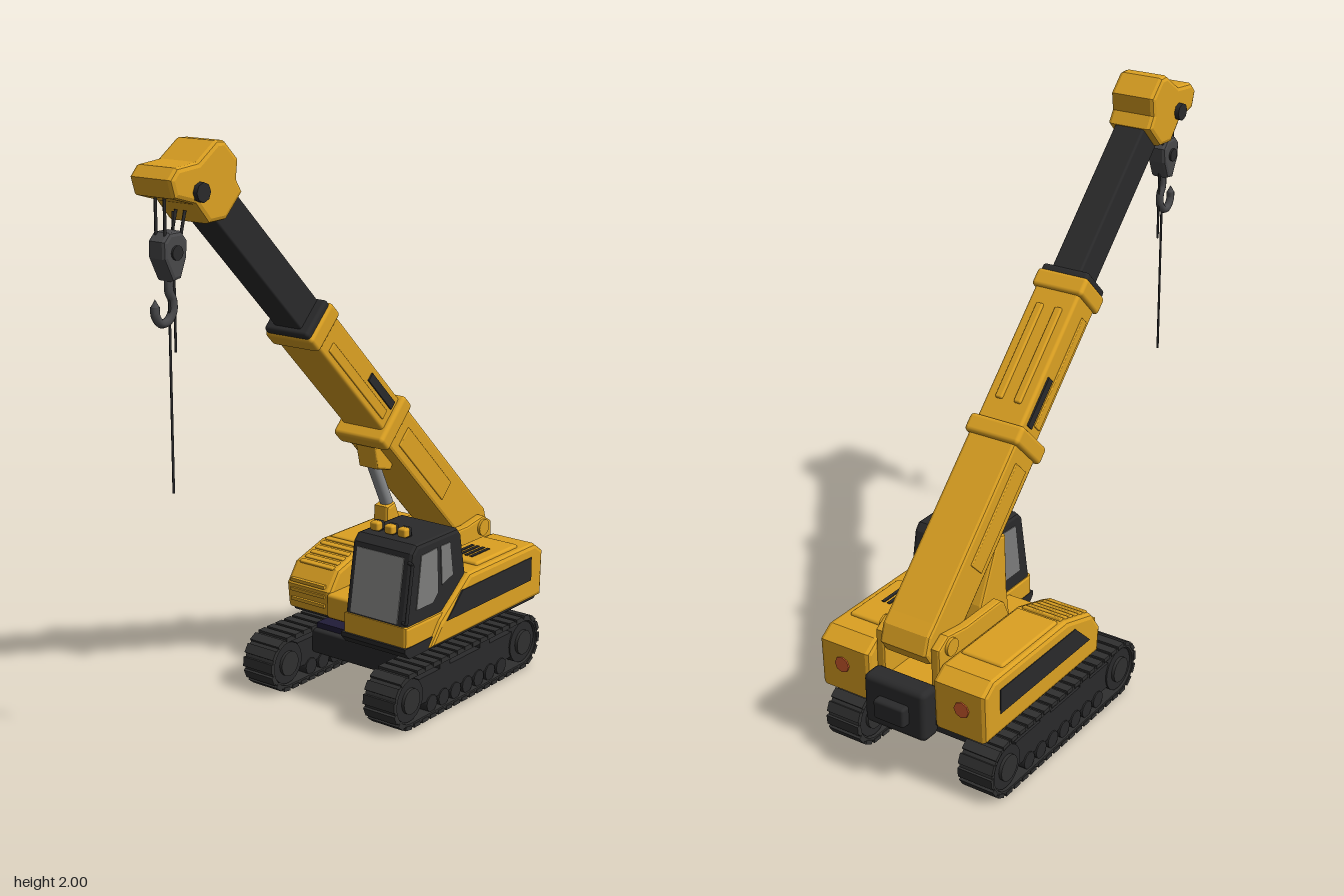
import * as THREE from 'three';
import { RoundedBoxGeometry } from 'three/addons/geometries/RoundedBoxGeometry.js';

const mat = (name, color) => {
  const m = new THREE.MeshStandardMaterial({ color });
  m.name = name;
  return m;
};

export function createModel() {
  const yellow = mat('yellow paint', 0xdca122);
  const black = mat('black trim', 0x2a2a2b);
  const rubber = mat('track rubber', 0x303030);
  const glass = mat('glass', 0x7c7c7b);
  const steel = mat('steel', 0x8a8c8e);
  const hookGrey = mat('hook grey', 0x48484a);
  const navy = mat('navy ring', 0x211c38);
  const red = mat('tail light red', 0xcc5a2c);

  const model = new THREE.Group();
  model.name = 'craneTruck';

  const add = (name, geo, material, parent = model) => {
    const m = new THREE.Mesh(geo, material);
    m.name = name;
    parent.add(m);
    return m;
  };
  // Box given by its limits on each axis; r rounds the edges.
  const box = (name, material, [x0, x1], [y0, y1], [z0, z1], r = 0, parent = model) => {
    const s = [x1 - x0, y1 - y0, z1 - z0];
    const geo = r ? new RoundedBoxGeometry(...s, 2, r) : new THREE.BoxGeometry(...s);
    const m = add(name, geo, material, parent);
    m.position.set((x0 + x1) / 2, (y0 + y1) / 2, (z0 + z1) / 2);
    return m;
  };
  // Side profile of [z, y] points, extruded across x.
  const side = (name, material, pts, [x0, x1], b = 0, parent = model) => {
    const shape = new THREE.Shape(pts.map(p => new THREE.Vector2(...p)));
    const geo = new THREE.ExtrudeGeometry(shape, {
      depth: x1 - x0 - 2 * b, bevelEnabled: b > 0, bevelSize: b, bevelThickness: b,
      bevelOffset: -b, bevelSegments: 2,
    });
    geo.rotateY(-Math.PI / 2).translate(x1 - b, 0, 0);
    return add(name, geo, material, parent);
  };
  // Cylinder lying along x.
  const disc = (name, material, r, [x0, x1], y, z, parent = model, seg = 20) => {
    const m = add(name, new THREE.CylinderGeometry(r, r, x1 - x0, seg).rotateZ(Math.PI / 2), material, parent);
    m.position.set((x0 + x1) / 2, y, z);
    return m;
  };
  // Straight rod between two points.
  const rod = (name, material, a, b, r0, r1 = r0, seg = 12) => {
    const p = new THREE.Vector3(...a), q = new THREE.Vector3(...b);
    const m = add(name, new THREE.CylinderGeometry(r1, r0, p.distanceTo(q), seg), material);
    m.position.copy(p).add(q).multiplyScalar(0.5);
    m.quaternion.setFromUnitVectors(new THREE.Vector3(0, 1, 0), q.sub(p).normalize());
  };

  // Crawler tracks: belt, lugs, wheels, rollers and side frame
  const zA = -0.67, zB = 0.01, yC = 0.1;
  const stadium = (P, r) => {
    const p = new P();
    p.absarc(zB, yC, r, -Math.PI / 2, Math.PI / 2, false);
    p.absarc(zA, yC, r, Math.PI / 2, Math.PI * 1.5, false);
    p.closePath();
    return p;
  };
  for (const s of [1, -1]) {
    const track = new THREE.Group();
    track.name = s > 0 ? 'leftTrack' : 'rightTrack';
    track.position.x = s * 0.265;
    model.add(track);
    const belt = stadium(THREE.Shape, 0.093);
    belt.holes.push(stadium(THREE.Path, 0.08));
    add('belt', new THREE.ExtrudeGeometry(belt, { depth: 0.125, bevelEnabled: false, curveSegments: 14 })
      .rotateY(-Math.PI / 2).translate(0.0625, 0, 0), rubber, track);
    const L = zB - zA, R = 0.093, total = 2 * L + 2 * Math.PI * R, n = 42;
    for (let i = 0; i < n; i++) {
      const d = (i / n) * total;
      const lug = add('lug', new THREE.BoxGeometry(0.13, 0.014, 0.034), rubber, track);
      let a = 0, z, base;
      if (d < L) { z = zA + d; base = 0; }
      else if (d < L + Math.PI * R) { a = (d - L) / R; z = zB; base = a; }
      else if (d < 2 * L + Math.PI * R) { z = zB - (d - L - Math.PI * R); base = Math.PI; }
      else { z = zA; base = Math.PI + (d - 2 * L - Math.PI * R) / R; }
      lug.position.set(0, yC - Math.cos(base) * R, z + Math.sin(base) * R);
      lug.rotation.x = -base;
    }
    for (const z of [zA, zB]) {
      disc('endWheel', black, 0.076, [-0.055, 0.055], yC, z, track);
      disc('wheelHub', rubber, 0.045, [-0.066, 0.066], yC, z, track);
    }
    for (let i = 0; i < 7; i++)
      disc('roller', black, 0.03, [-0.055, 0.055], 0.047, -0.12 - i * 0.07, track, 12);
    box('trackFrame', black, [-0.05, 0.05], [0.06, 0.155], [-0.61, -0.05], 0, track);
    for (const z of [-0.2, -0.44]) box('upperRoller', black, [-0.05, 0.05], [0.15, 0.185], [z - 0.03, z + 0.03], 0, track);
  }

  // Undercarriage and turntable
  box('undercarriage', black, [-0.21, 0.21], [0.1, 0.19], [-0.64, -0.12], 0.01);
  box('turntableBase', navy, [-0.2, 0.2], [0.185, 0.21], [-0.57, -0.14]);
  add('turntable', new THREE.CylinderGeometry(0.19, 0.2, 0.04, 28), navy).position.set(0, 0.22, -0.36);

  // Upper deck
  box('deckSole', black, [-0.31, 0.31], [0.235, 0.26], [-0.77, -0.14], 0.01);
  box('deckCentre', yellow, [-0.135, 0.135], [0.25, 0.34], [-0.77, -0.11], 0.012);

  // Engine houses
  side('rightHouse', yellow, [[-0.13, 0.25], [-0.12, 0.34], [-0.17, 0.41], [-0.32, 0.455], [-0.74, 0.455],
    [-0.79, 0.42], [-0.785, 0.25]], [-0.325, -0.125], 0.016);
  side('leftHouse', yellow, [[-0.1, 0.25], [-0.16, 0.33], [-0.33, 0.455], [-0.74, 0.455],
    [-0.79, 0.42], [-0.785, 0.25]], [0.125, 0.325], 0.016);
  for (let i = 0; i < 6; i++) {
    const t = i / 5;
    const step = box('step', yellow, [-0.3, -0.15], [-0.006, 0.006], [-0.01, 0.01], 0.004);
    step.position.y = 0.411 + 0.045 * t;
    step.position.z = -0.175 - 0.145 * t;
    step.rotation.x = 0.3;
  }
  for (let i = 0; i < 3; i++) box('frontStep', yellow, [-0.3, -0.15], [0.28 + i * 0.035, 0.292 + i * 0.035], [-0.13, -0.115]);
  box('leftHood', yellow, [0.14, 0.295], [0.44, 0.466], [-0.67, -0.41], 0.01);
  box('rightHood', yellow, [-0.3, -0.14], [0.44, 0.464], [-0.66, -0.34], 0.01);
  for (let i = 0; i < 4; i++) box('hoodVent', black, [0.17 + i * 0.022, 0.182 + i * 0.022], [0.464, 0.469], [-0.56, -0.45]);
  const panel = [[-0.19, 0.325], [-0.28, 0.41], [-0.71, 0.412], [-0.71, 0.325]];
  for (const x of [0.322, -0.328]) side('sidePanel', black, panel, [x, x + 0.006]);
  for (const s of [1, -1]) {
    const lamp = add('tailLight', new THREE.CylinderGeometry(0.028, 0.028, 0.008, 8).rotateX(Math.PI / 2), red);
    lamp.position.set(s * 0.235, 0.35, -0.789);
    // Boom mounts
    side('boomMount', yellow, [[-0.3, 0.3], [-0.39, 0.5], [-0.41, 0.515], [-0.6, 0.515], [-0.7, 0.53],
      [-0.75, 0.5], [-0.75, 0.3]], s > 0 ? [0.09, 0.125] : [-0.125, -0.09], 0.008);
    disc('boomPivot', yellow, 0.03, s > 0 ? [0.11, 0.135] : [-0.135, -0.11], 0.49, -0.69);
  }

  // Counterweight
  box('counterweight', black, [-0.12, 0.12], [0.2, 0.38], [-0.83, -0.75], 0.02);
  box('towBlock', black, [-0.06, 0.06], [0.25, 0.32], [-0.86, -0.8], 0.01);

  // Cab
  side('cabBase', yellow, [[0, 0.26], [0.02, 0.285], [0.02, 0.355], [-0.19, 0.355], [-0.33, 0.455], [-0.33, 0.25], [-0.02, 0.25]],
    [0.045, 0.31], 0.01);
  side('cabSill', black, [[0.005, 0.245], [0.028, 0.27], [0.028, 0.285], [-0.2, 0.285], [-0.2, 0.245]], [0.043, 0.313]);
  side('cabShell', black, [[0.018, 0.34], [-0.025, 0.6], [-0.05, 0.625], [-0.285, 0.625], [-0.305, 0.6],
    [-0.335, 0.45], [-0.2, 0.335]], [0.05, 0.302], 0.014);
  const screen = add('windscreen', new THREE.BoxGeometry(0.195, 0.225, 0.006), glass);
  screen.position.set(0.172, 0.472, -0.003);
  screen.rotation.x = -0.164;
  const rear = add('rearWindow', new THREE.BoxGeometry(0.17, 0.09, 0.006), glass);
  rear.position.set(0.172, 0.545, -0.317);
  rear.rotation.x = 0.197;
  for (const x of [0.299, 0.047]) {
    side('doorWindow', glass, [[-0.045, 0.4], [-0.07, 0.585], [-0.16, 0.59], [-0.17, 0.43], [-0.14, 0.4]], [x, x + 0.006]);
    side('sideWindow', glass, [[-0.19, 0.45], [-0.18, 0.59], [-0.235, 0.59], [-0.255, 0.47]], [x, x + 0.006]);
  }
  for (const x of [0.1, 0.16, 0.215]) {
    box('roofLampFoot', black, [x - 0.012, x + 0.012], [0.615, 0.64], [-0.12, -0.09]);
    box('roofLamp', yellow, [x - 0.018, x + 0.018], [0.628, 0.66], [-0.105, -0.075], 0.008);
    box('roofLampBack', black, [x - 0.018, x + 0.018], [0.628, 0.66], [-0.115, -0.1], 0.006);
  }
  rod('handrail', black, [0.312, 0.37, 0.022], [0.312, 0.57, -0.01], 0.006);
  for (const [y, z] of [[0.37, 0.022], [0.57, -0.01]]) rod('handrailBracket', black, [0.29, y, z - 0.01], [0.312, y, z], 0.006);

  // Telescopic boom: local z runs up the boom
  side('lowerBoom', yellow, [[-0.75, 0.44], [-0.775, 0.48], [-0.755, 0.54], [-0.72, 0.572], [-0.26, 1.029],
    [-0.15, 0.916], [-0.6, 0.466], [-0.62, 0.44]], [-0.092, 0.092], 0.012);
  const boom = new THREE.Group();
  boom.name = 'boom';
  boom.position.y = 1.18;
  boom.rotation.x = -Math.PI / 4;
  model.add(boom);
  box('lowerCollar', yellow, [-0.105, 0.105], [-0.1, 0.092], [-0.315, -0.25], 0.015, boom);
  box('middleBoom', yellow, [-0.086, 0.086], [-0.055, 0.077], [-0.3, 0.3], 0.012, boom);
  box('upperCollar', yellow, [-0.098, 0.098], [-0.068, 0.088], [0.225, 0.29], 0.014, boom);
  box('collarSeal', black, [-0.09, 0.09], [-0.062, 0.082], [0.28, 0.312], 0.012, boom);
  box('upperBoom', black, [-0.056, 0.056], [-0.042, 0.077], [0.25, 0.9], 0.008, boom);
  for (const s of [1, -1]) {
    const at = (x, t) => (s > 0 ? [x, x + t] : [-x - t, -x]);
    box('lowerRib', yellow, at(0.09, 0.008), [-0.045, 0.03], [-0.72, -0.36], 0.003, boom);
    box('middleRib', yellow, at(0.084, 0.008), [-0.03, 0.005], [-0.22, 0.18], 0.003, boom);
    box('boomGrille', black, at(0.084, 0.008), [0.02, 0.05], [-0.235, -0.06], 0, boom);
    box('topRib', yellow, s > 0 ? [0.022, 0.05] : [-0.05, -0.022], [0.07, 0.086], [-0.18, 0.17], 0.007, boom);
  }

  // Lift cylinder
  side('cylinderBracket', yellow, [[-0.15, 0.92], [-0.175, 0.81], [-0.25, 0.79], [-0.27, 0.83]], [-0.042, 0.042], 0.008);
  rod('liftRod', steel, [0, 0.82, -0.2], [0, 0.6, -0.31], 0.023);
  side('liftBarrel', yellow, [[-0.245, 0.655], [-0.29, 0.665], [-0.39, 0.45], [-0.42, 0.3], [-0.22, 0.3], [-0.24, 0.45]],
    [-0.032, 0.032], 0.01);

  // Boom head and sheave
  side('boomHead', yellow, [[0.838, 1.85], [0.855, 1.905], [0.825, 1.937], [0.735, 1.945], [0.655, 2.0], [0.62, 1.998],
    [0.562, 1.94], [0.57, 1.88], [0.545, 1.84], [0.62, 1.765], [0.695, 1.762], [0.75, 1.825]], [-0.084, 0.084], 0.015);
  disc('sheaveAxle', black, 0.03, [-0.1, 0.1], 1.86, 0.735, model, 8);

  // Hook block, cables and hook
  for (const x of [-0.018, 0.018]) {
    rod('blockCable', black, [x, 1.87, 0.815], [x, 1.7, 0.815], 0.005, 0.005, 6);
    rod('blockCable', black, [x, 1.8, 0.73], [x, 1.7, 0.757], 0.005, 0.005, 6);
  }
  side('hookBlock', hookGrey, [[0.835, 1.72], [0.81, 1.745], [0.76, 1.745], [0.735, 1.715], [0.74, 1.665], [0.765, 1.605],
    [0.8, 1.6], [0.835, 1.67]], [-0.035, 0.035], 0.012);
  disc('blockPin', black, 0.022, [-0.042, 0.042], 1.685, 0.787);
  const hookPath = new THREE.CatmullRomCurve3([[1.61, 0.785], [1.565, 0.785], [1.54, 0.772], [1.505, 0.772], [1.478, 0.795],
    [1.478, 0.825], [1.505, 0.845], [1.53, 0.845]].map(([y, z]) => new THREE.Vector3(0, y, z)));
  add('hook', new THREE.TubeGeometry(hookPath, 28, 0.014, 8), hookGrey);
  add('hookTip', new THREE.ConeGeometry(0.014, 0.025, 8), hookGrey).position.set(0, 1.54, 0.845);
  rod('shortLine', black, [0, 1.8, 0.762], [0, 1.38, 0.762], 0.004, 0.004, 6);
  rod('longLine', black, [0, 1.62, 0.785], [0, 0.95, 0.785], 0.004, 0.004, 6);

  return model;
}
